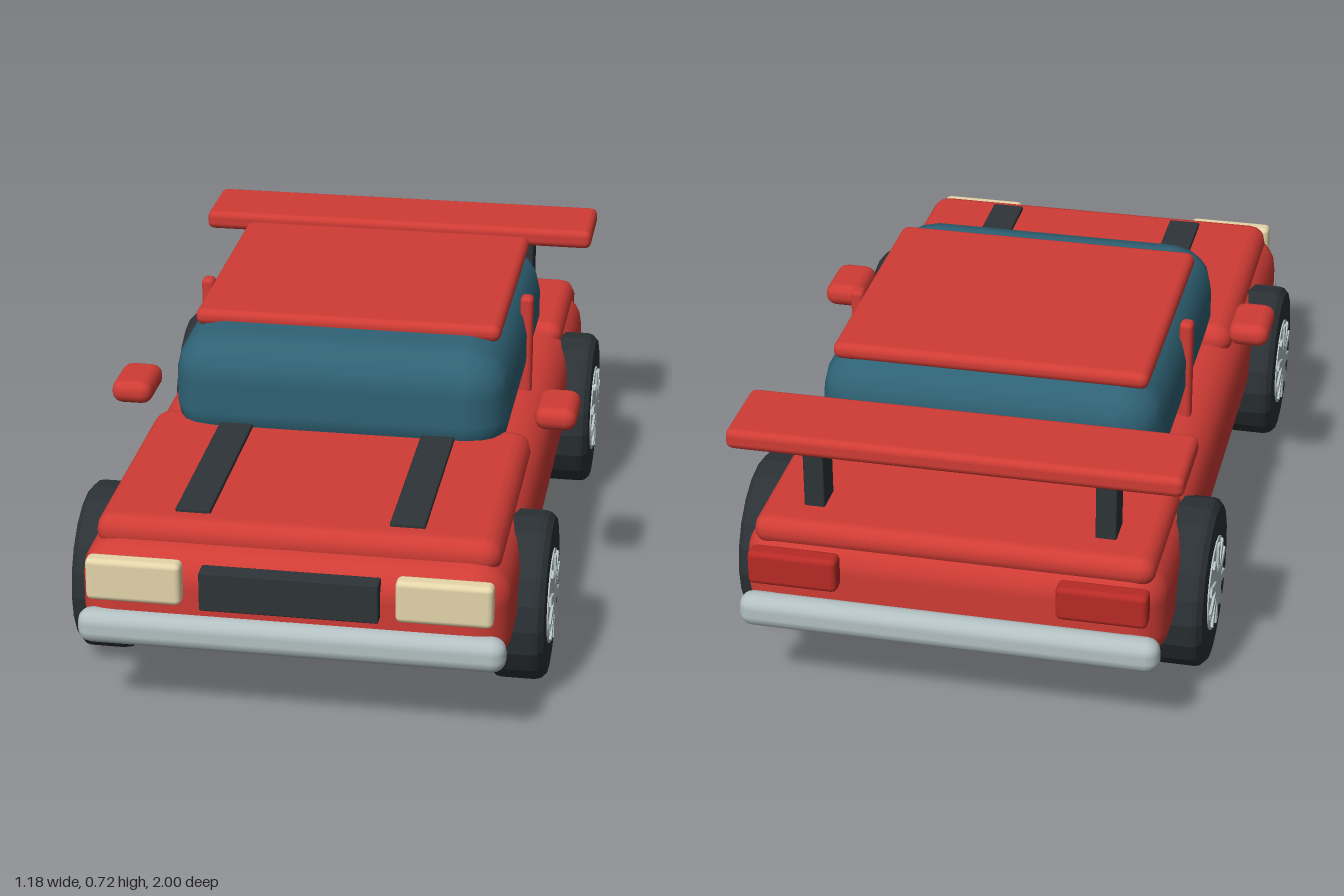
import * as THREE from 'three';
import { RoundedBoxGeometry } from 'three/addons/geometries/RoundedBoxGeometry.js';

const mat = (color) => new THREE.MeshStandardMaterial({ color });
const red = mat(0xd03c35);
const tailRed = mat(0xb82a25);
const glass = mat(0x2f6275);
const dark = mat(0x2e3437);
const chrome = mat(0xb4c1c3);
const cream = mat(0xe6d6ab);
const rubber = mat(0x2b3135);
rubber.flatShading = true;

// Rounded block given by its [min, max] range on each axis
function block(name, [x0, x1], [y0, y1], [z0, z1], radius, material, segments = 2) {
  const geometry = new RoundedBoxGeometry(x1 - x0, y1 - y0, z1 - z0, segments, radius);
  const mesh = new THREE.Mesh(geometry, material);
  mesh.position.set((x0 + x1) / 2, (y0 + y1) / 2, (z0 + z1) / 2);
  mesh.name = name;
  return mesh;
}

// Wheel with its axle along x, centred on the origin
function createWheel(name) {
  const wheel = new THREE.Group();
  wheel.name = name;

  // Tyre with bevelled shoulders
  const profile = [[0, -0.065], [0.19, -0.065], [0.203, -0.052], [0.206, -0.04],
    [0.206, 0.04], [0.203, 0.052], [0.19, 0.065], [0, 0.065]]
    .map(([r, y]) => new THREE.Vector2(r, y));
  const tyre = new THREE.Mesh(new THREE.LatheGeometry(profile, 20).rotateZ(Math.PI / 2), rubber);
  tyre.name = 'tyre';

  // Rim passing through the tyre
  const rim = new THREE.Mesh(new THREE.CylinderGeometry(0.116, 0.116, 0.137, 20).rotateZ(Math.PI / 2), chrome);
  rim.name = 'rim';
  wheel.add(tyre, rim);

  // Spokes across the full rim, slightly proud of both faces
  for (let i = 0; i < 5; i++) {
    const spoke = new THREE.Mesh(new THREE.BoxGeometry(0.149, 0.218, 0.022), chrome);
    spoke.rotation.x = (i * Math.PI) / 5;
    spoke.name = 'spoke';
    wheel.add(spoke);
  }
  return wheel;
}

export function createModel() {
  const car = new THREE.Group();
  car.name = 'car';

  // Bodywork, cabin and roof
  car.add(
    block('body', [-0.508, 0.508], [0.17, 0.437], [-0.95, 0.96], 0.09, red, 3),
    block('hood', [-0.48, 0.48], [0.395, 0.484], [0.21, 0.89], 0.044, red),
    block('trunkLid', [-0.48, 0.48], [0.39, 0.464], [-0.93, -0.54], 0.036, red),
    block('cabinGlass', [-0.424, 0.424], [0.41, 0.704], [-0.58, 0.325], 0.11, glass),
    block('roof', [-0.388, 0.388], [0.686, 0.729], [-0.525, 0.165], 0.02, red),
  );

  // Front and rear trim
  car.add(
    block('grille', [-0.21, 0.21], [0.31, 0.408], [0.94, 0.987], 0.004, dark, 1),
    block('frontBumper', [-0.505, 0.505], [0.2, 0.284], [0.928, 0.996], 0.033, chrome),
    block('rearBumper', [-0.505, 0.505], [0.2, 0.284], [-0.998, -0.93], 0.033, chrome),
    block('spoilerWing', [-0.54, 0.54], [0.634, 0.685], [-0.912, -0.692], 0.018, red),
  );

  // Parts mirrored left and right
  for (const [side, s] of [['left', 1], ['right', -1]]) {
    const range = (a, b) => (s > 0 ? [a, b] : [-b, -a]);
    car.add(
      block(side + 'Headlight', range(0.25, 0.476), [0.322, 0.428], [0.955, 1], 0.014, cream),
      block(side + 'TailLight', range(0.26, 0.476), [0.322, 0.41], [-0.99, -0.94], 0.014, tailRed),
      block(side + 'HoodStripe', range(0.212, 0.296), [0.47, 0.494], [0.25, 0.828], 0.004, dark, 1),
      block(side + 'DoorPillar', range(0.404, 0.438), [0.42, 0.695], [-0.18, -0.14], 0.012, red),
      block(side + 'Mirror', range(0.486, 0.591), [0.496, 0.556], [0.1, 0.26], 0.028, red),
      block(side + 'SpoilerPost', range(0.325, 0.375), [0.44, 0.65], [-0.84, -0.76], 0.004, dark, 1),
    );
    for (const [end, z] of [['Front', 0.583], ['Rear', -0.58]]) {
      const wheel = createWheel(side + end + 'Wheel');
      wheel.position.set(s * 0.506, 0.212, z);
      car.add(wheel);
    }
  }

  // Tyres rest on the ground
  car.position.y = -0.006;
  const model = new THREE.Group();
  model.name = 'model';
  model.add(car);
  return model;
}
